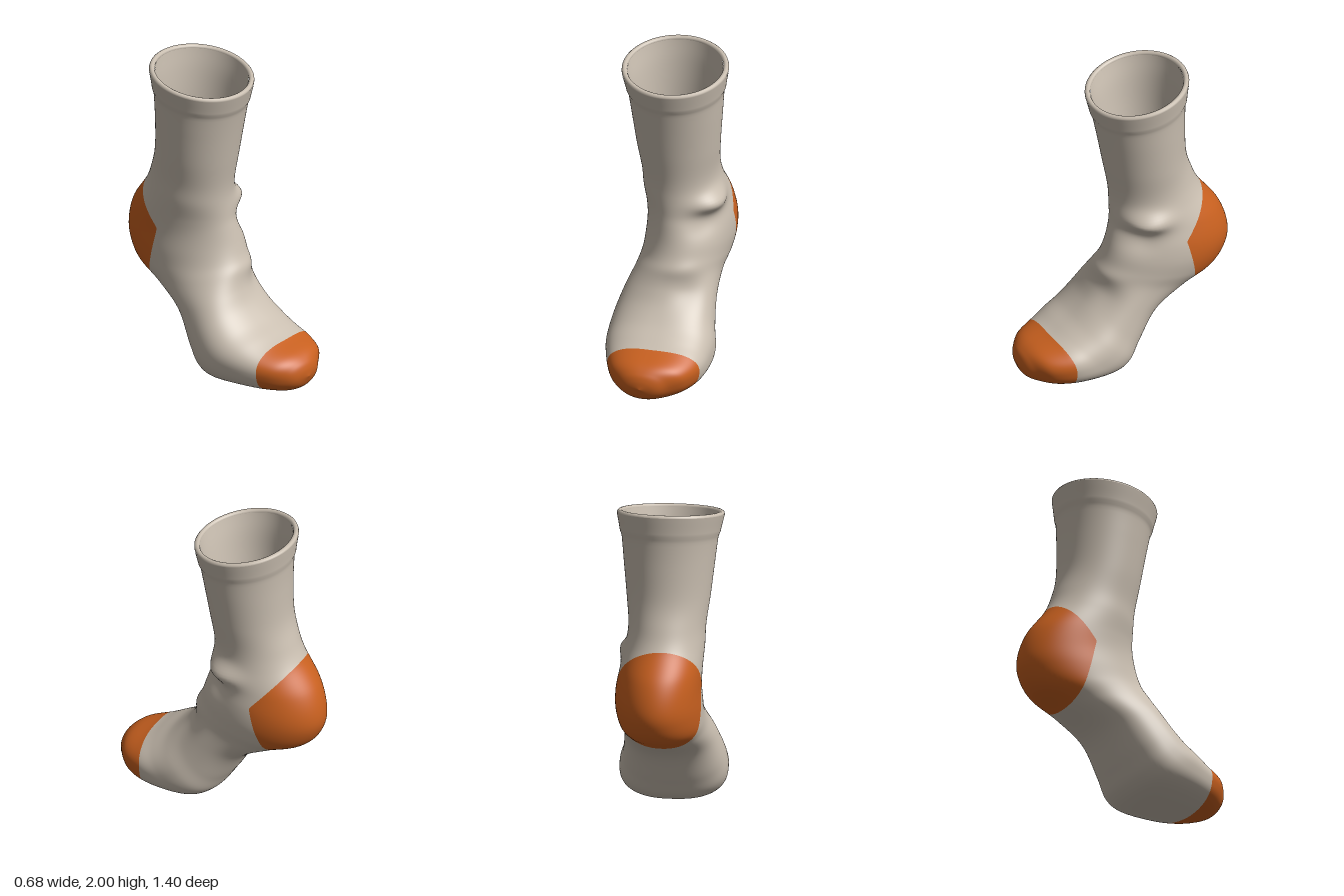
import * as THREE from 'three';

// Cross-sections from cuff to toe:
// front z, front y, back z, back y, min x, max x, roundness (1 = ellipse, less = squarer)
const SECTIONS = [
  [0.18, 1.87, -0.445, 1.985, -0.34, 0.31, 1],
  [0.15, 1.75, -0.43, 1.84, -0.31, 0.288, 1],
  [0.12, 1.6, -0.425, 1.65, -0.288, 0.272, 1],
  [0.085, 1.4, -0.435, 1.43, -0.263, 0.252, 1],
  [0.055, 1.22, -0.475, 1.28, -0.24, 0.238, 1],
  [0.05, 1.1, -0.53, 1.15, -0.235, 0.25, 1],
  [0.06, 1.0, -0.65, 0.98, -0.225, 0.28, 1],
  [0.08, 0.92, -0.70, 0.82, -0.22, 0.305, 1],
  [0.105, 0.82, -0.685, 0.70, -0.225, 0.31, 1],
  [0.135, 0.73, -0.605, 0.59, -0.23, 0.295, 0.97],
  [0.165, 0.66, -0.425, 0.5, -0.245, 0.275, 0.93],
  [0.2, 0.56, -0.21, 0.377, -0.285, 0.28, 0.88],
  [0.25, 0.47, -0.075, 0.175, -0.325, 0.3, 0.85],
  [0.33, 0.39, 0.005, 0.06, -0.34, 0.328, 0.82],
  [0.42, 0.335, 0.12, 0.008, -0.33, 0.33, 0.8],
  [0.5, 0.295, 0.35, 0.003, -0.285, 0.315, 0.8],
  [0.615, 0.255, 0.5, 0.005, -0.225, 0.255, 0.82],
  [0.67, 0.215, 0.6, 0.015, -0.155, 0.165, 0.9],
  [0.692, 0.175, 0.665, 0.05, -0.09, 0.1, 1],
  [0.7, 0.12, 0.7, 0.12, 0.005, 0.005, 1],
];
const LAST = SECTIONS.length - 1;
const WALL = 0.03;

const spline = (pick) => new THREE.CatmullRomCurve3(
  SECTIONS.map((s) => new THREE.Vector3(...pick(s))), false, 'catmullrom', 0.5);
const frontLine = spline((s) => [(s[4] + s[5]) / 2, s[1], s[0]]);
const backLine = spline((s) => [(s[4] + s[5]) / 2, s[3], s[2]]);
const widthLine = spline((s) => [(s[5] - s[4]) / 2, s[6], 0]);

// Soft blob of influence around a point
const blob = (p, x, y, z, rx, ry, rz) =>
  Math.exp(-(((p.x - x) / rx) ** 2 + ((p.y - y) / ry) ** 2 + ((p.z - z) / rz) ** 2));

// Cloth folds: ankle ridge with a hollow below, and an instep crease
const folds = (p) =>
  0.065 * blob(p, 0.25, 1.06, -0.1, 0.17, 0.065, 0.13)
  - 0.035 * blob(p, 0.2, 0.93, -0.03, 0.13, 0.08, 0.13)
  - 0.028 * blob(p, 0.16, 0.55, 0.16, 0.13, 0.1, 0.1)
  + 0.012 * blob(p, 0.1, 0.68, 0.12, 0.15, 0.05, 0.12);

// Point on the sock: t runs cuff to toe, angle runs front to +x to back
function sockPoint(t, angle, inset) {
  const f = frontLine.getPoint(t), b = backLine.getPoint(t), w = widthLine.getPoint(t);
  const mid = f.clone().add(b).multiplyScalar(0.5);
  const axis = f.clone().sub(b).multiplyScalar(0.5);
  const round = (v) => Math.sign(v) * Math.abs(v) ** w.y;
  // Cuff band is slightly proud of the leg
  const band = 0.007 * (1 - THREE.MathUtils.smoothstep(t * LAST, 0.9, 1.05));
  const grow = (inset ? 0 : band) - inset;
  const depth = axis.length();
  axis.setLength(Math.max(0, depth + Math.min(grow, 0) + (depth > 0.2 ? Math.max(grow, 0) : 0)));
  const p = mid.clone().addScaledVector(axis, round(Math.cos(angle)));
  p.x += Math.max(0, w.x + grow) * round(Math.sin(angle));
  const out = p.clone().sub(mid);
  if (out.lengthSq() > 1e-8) p.addScaledVector(out.normalize(), folds(p));
  p.y = Math.max(p.y, 0);
  return p;
}

// Smooth closed-ring surface
function loft(rows, cols, tEnd, inset, inward) {
  const pos = [], index = [];
  for (let j = 0; j <= rows; j++) {
    for (let i = 0; i < cols; i++) {
      pos.push(...sockPoint((j / rows) * tEnd, (i / cols) * Math.PI * 2, inset).toArray());
      if (j === rows) continue;
      const n = (i + 1) % cols;
      const a = j * cols + i, b = j * cols + n, c = a + cols, d = b + cols;
      if (inward) index.push(a, b, c, b, d, c);
      else index.push(a, c, b, b, c, d);
    }
  }
  const g = new THREE.BufferGeometry();
  g.setAttribute('position', new THREE.Float32BufferAttribute(pos, 3));
  g.setIndex(index);
  g.computeVertexNormals();
  return g;
}

// Keep only the portion of a surface where field(point) > 0, with a clean cut
function cut(geometry, field) {
  const P = geometry.attributes.position, N = geometry.attributes.normal, I = geometry.index;
  const verts = [];
  for (let i = 0; i < P.count; i++) {
    const p = new THREE.Vector3().fromBufferAttribute(P, i);
    verts.push({ p, n: new THREE.Vector3().fromBufferAttribute(N, i), f: field(p) });
  }
  const pos = [], nor = [];
  for (let k = 0; k < I.count; k += 3) {
    const tri = [0, 1, 2].map((m) => verts[I.getX(k + m)]);
    const poly = [];
    tri.forEach((a, m) => {
      const b = tri[(m + 1) % 3];
      if (a.f > 0) poly.push(a);
      if ((a.f > 0) !== (b.f > 0)) {
        const s = a.f / (a.f - b.f);
        poly.push({ p: a.p.clone().lerp(b.p, s), n: a.n.clone().lerp(b.n, s).normalize() });
      }
    });
    for (let m = 1; m + 1 < poly.length; m++) {
      for (const v of [poly[0], poly[m], poly[m + 1]]) {
        pos.push(...v.p.toArray());
        nor.push(...v.n.toArray());
      }
    }
  }
  const g = new THREE.BufferGeometry();
  g.setAttribute('position', new THREE.Float32BufferAttribute(pos, 3));
  g.setAttribute('normal', new THREE.Float32BufferAttribute(nor, 3));
  return g;
}

// Colour regions: positive inside the patch
const heelField = (p) => Math.min(
  -0.32 - 0.84 * (p.y - 0.9) - p.z,
  -0.32 - 0.25 * (0.9 - p.y) - p.z);
const toeField = (p) =>
  p.z - (0.495 - 0.5 * Math.max(p.x, 0) ** 2 - 0.3 * Math.max(0, 0.25 - p.y) * Math.max(p.x, 0));

export function createModel() {
  const group = new THREE.Group();
  const material = (name, color) => {
    const m = new THREE.MeshStandardMaterial({ color });
    m.name = name;
    return m;
  };
  const knit = material('beige knit', 0xc9beb0);
  const orange = material('orange knit', 0xc8601f);
  const dark = material('dark inside', 0x4c4c4e);
  const add = (name, geometry, mat) => {
    const mesh = new THREE.Mesh(geometry, mat);
    mesh.name = name;
    group.add(mesh);
  };

  // Outer sock with heel and toe patches
  const outer = loft(152, 96, 1, 0, false);
  add('sockBody', cut(outer, (p) => -Math.max(heelField(p), toeField(p))), knit);
  add('heelPatch', cut(outer, heelField), orange);
  add('toePatch', cut(outer, toeField), orange);

  // Lining of the leg and the dark foot interior
  const lining = loft(85, 64, 17 / LAST, WALL, true);
  const ankle = (p) => p.y - 1.17;
  add('legLining', cut(lining, ankle), knit);
  add('footInterior', cut(lining, (p) => -ankle(p)), dark);

  // Rounded rim of the cuff
  const rimPoints = [];
  for (let i = 0; i < 32; i++) rimPoints.push(sockPoint(0, (i / 32) * Math.PI * 2, WALL / 2 - 0.003));
  const rim = new THREE.CatmullRomCurve3(rimPoints, true);
  add('cuffRim', new THREE.TubeGeometry(rim, 96, 0.0175, 10, true), knit);
  return group;
}
